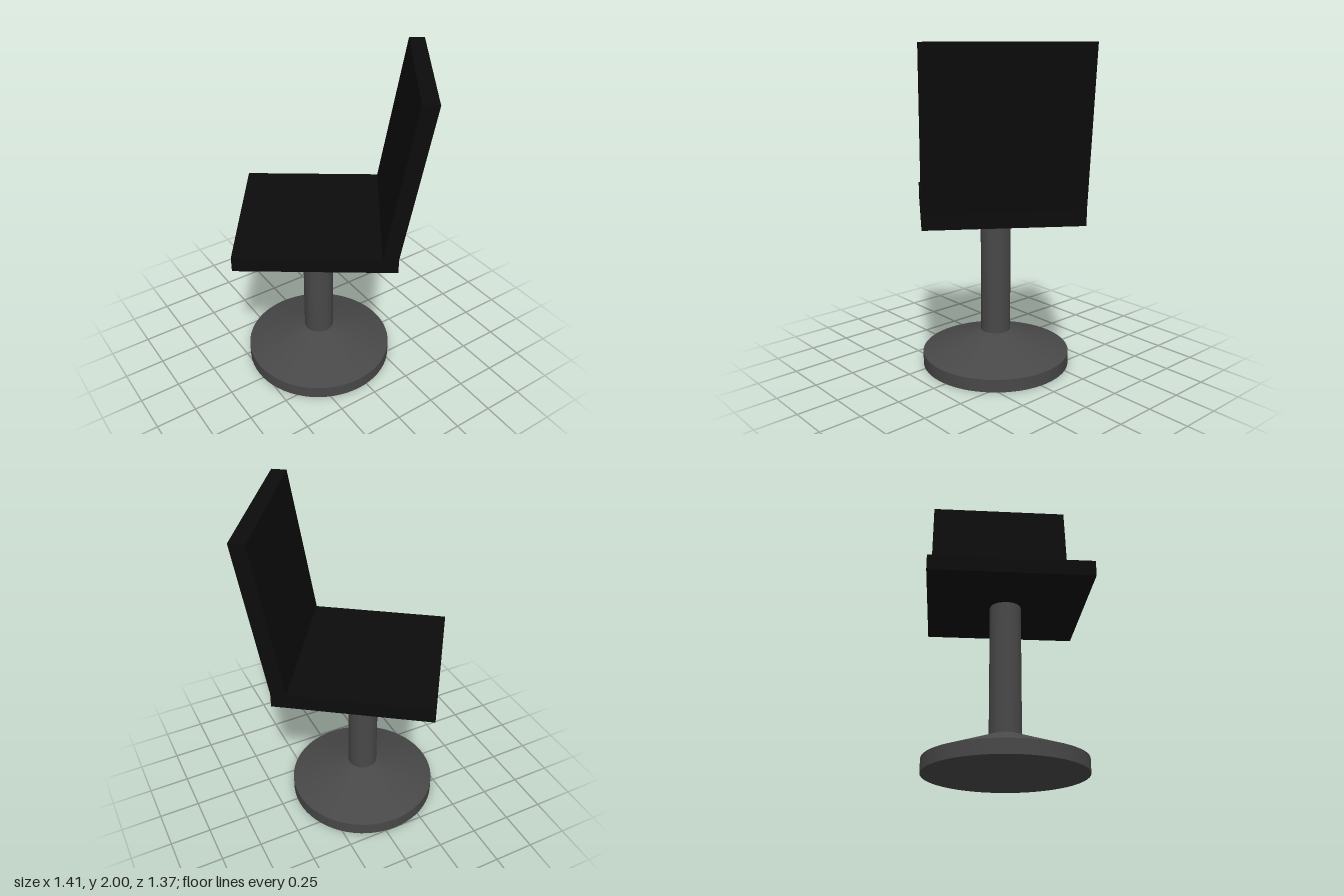
import * as THREE from 'three';
import { toCreasedNormals } from 'three/addons/utils/BufferGeometryUtils.js';

const WIDTH = 0.92;

export function createModel() {
  const chair = new THREE.Group();
  chair.name = 'swivelChair';
  chair.position.set(-0.063, 0, -0.043);

  const metal = new THREE.MeshStandardMaterial({ color: 0x484848 });
  const black = new THREE.MeshStandardMaterial({ color: 0x0c0c0c });

  // Turned pedestal: disc foot, shallow cone and column
  const profile = [[0, 0], [0.46, 0], [0.46, 0.08], [0.092, 0.215], [0.092, 0.99]]
    .map(([r, y]) => new THREE.Vector2(r, y));
  const pedestal = new THREE.Mesh(
    toCreasedNormals(new THREE.LatheGeometry(profile, 64), 0.25), metal);
  pedestal.name = 'pedestal';
  chair.add(pedestal);

  // Upper part, swivelled on the column; local +x points to the back
  const upper = new THREE.Group();
  upper.name = 'swivelSeat';
  upper.rotation.y = -0.61;
  chair.add(upper);

  // Slab from a side outline, extruded across the chair's width
  const addSlab = (name, outline) => {
    const shape = new THREE.Shape(outline.map(([x, y]) => new THREE.Vector2(x, y)));
    const geometry = new THREE.ExtrudeGeometry(shape, { depth: WIDTH, bevelEnabled: false });
    geometry.translate(0, 0, -WIDTH / 2);
    const slab = new THREE.Mesh(geometry, black);
    slab.name = name;
    upper.add(slab);
  };

  addSlab('seat', [[-0.46, 0.99], [0.46, 0.99], [0.46, 1.08], [-0.46, 1.08]]);
  addSlab('backrest', [[0.37, 1.08], [0.46, 1.08], [0.613, 2], [0.522, 2]]);

  return chair;
}
